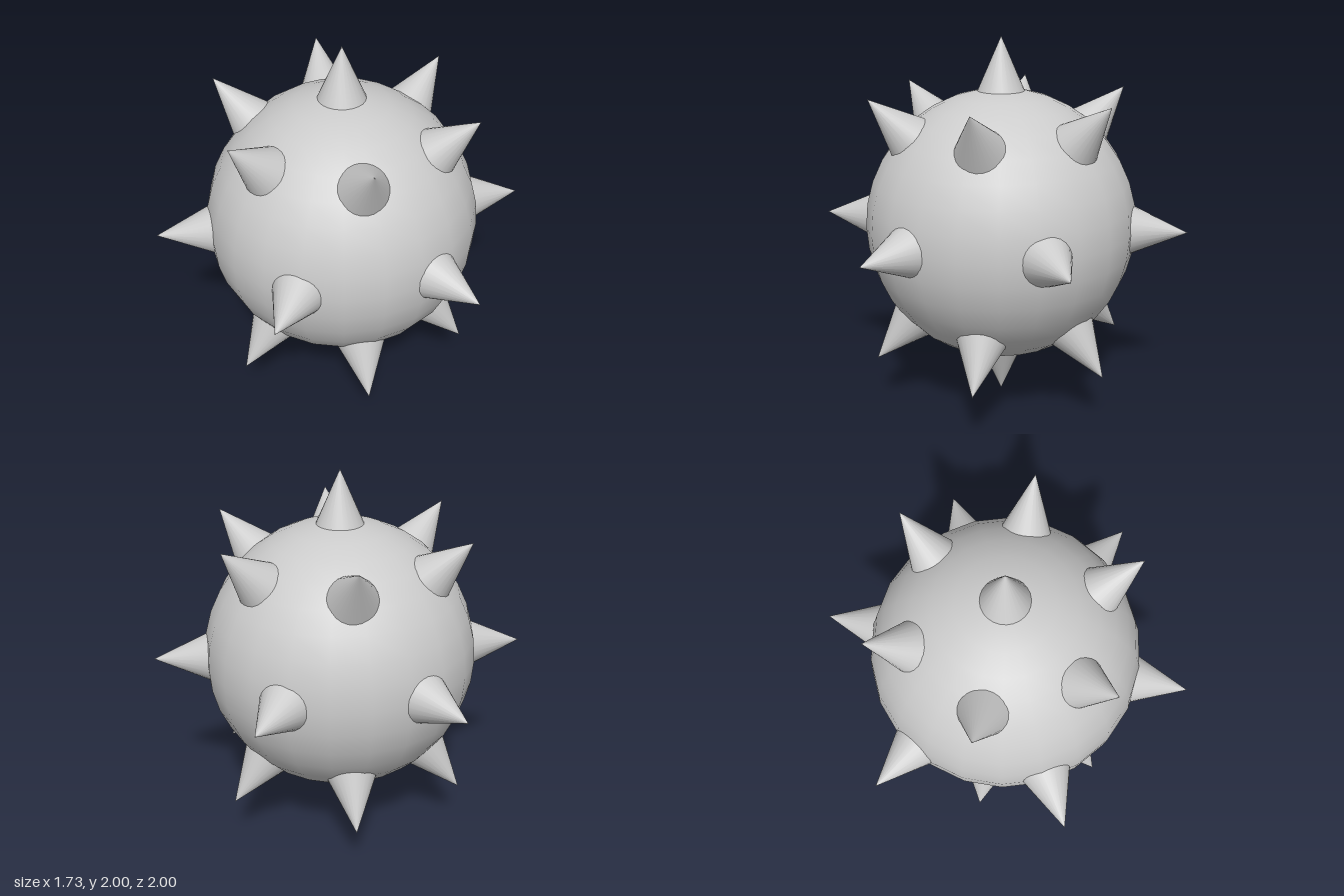
import * as THREE from 'three';

export function createModel() {
  const model = new THREE.Group();
  model.name = 'spikedBall';
  const material = new THREE.MeshStandardMaterial({ color: 0xcccccc });

  // Round body
  const body = new THREE.Mesh(new THREE.SphereGeometry(0.729, 22, 18), material);
  body.name = 'body';
  body.position.y = 1;
  model.add(body);

  // One spike: base sunk slightly into the body, tip one unit from the centre
  const baseDistance = 0.7;
  const spikeGeometry = new THREE.ConeGeometry(0.132, 1 - baseDistance, 24);
  spikeGeometry.translate(0, (1 + baseDistance) / 2, 0);
  const up = new THREE.Vector3(0, 1, 0);

  function addSpike(name, elevation, azimuth) {
    const e = THREE.MathUtils.degToRad(elevation);
    const a = THREE.MathUtils.degToRad(azimuth);
    const direction = new THREE.Vector3(
      Math.cos(e) * Math.sin(a), Math.sin(e), Math.cos(e) * Math.cos(a));
    const spike = new THREE.Mesh(spikeGeometry, material);
    spike.name = name;
    spike.position.y = 1;
    spike.quaternion.setFromUnitVectors(up, direction);
    model.add(spike);
  }

  // Spikes at the poles
  addSpike('topSpike', 90, 0);
  addSpike('bottomSpike', -90, 0);

  // Three rings of six; the slanted rings sit half a step round from the middle one
  for (let i = 0; i < 6; i++) {
    addSpike('middleSpike', 0, i * 60);
    addSpike('upperSpike', 45, i * 60 + 30);
    addSpike('lowerSpike', -45, i * 60 + 30);
  }

  return model;
}
